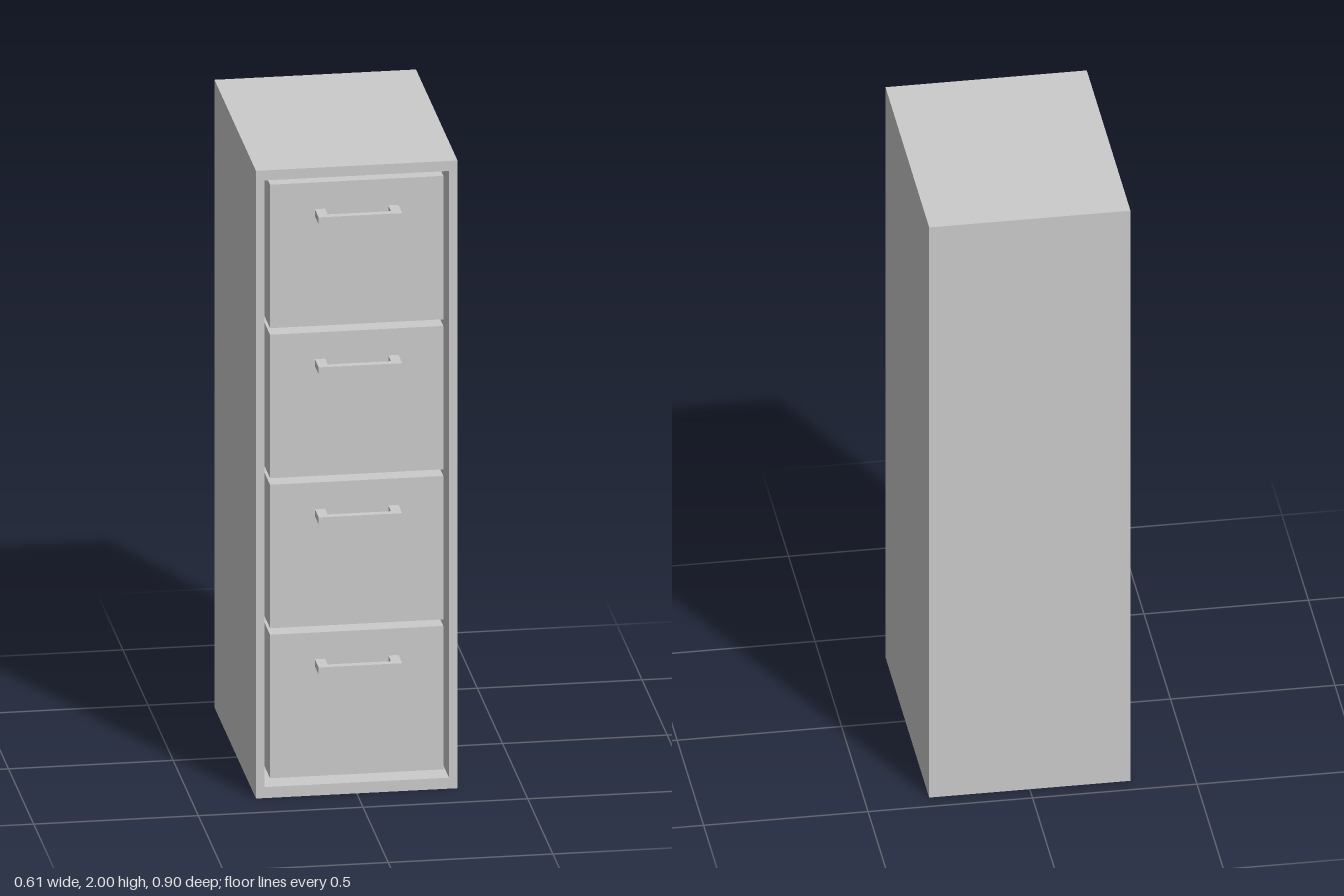
import * as THREE from 'three';

const material = new THREE.MeshStandardMaterial({ color: 0xcccccc, flatShading: true });

function add(parent, name, geometry, x = 0, y = 0, z = 0) {
  const mesh = new THREE.Mesh(geometry, material);
  mesh.name = name;
  mesh.position.set(x, y, z);
  parent.add(mesh);
}

function rectangle(PathType, x, y0, y1) {
  return new PathType([[-x, y0], [x, y0], [x, y1], [-x, y1]].map(p => new THREE.Vector2(...p)));
}

export function createModel() {
  const model = new THREE.Group();
  model.name = 'filingCabinet';

  const halfWidth = 0.306, back = -0.449, front = 0.375, wall = 0.027;

  // Casing: a hollow shell, open to the front and closed by a back panel
  const shell = rectangle(THREE.Shape, halfWidth, 0, 2);
  shell.holes.push(rectangle(THREE.Path, 0.28, 0.035, 1.968));
  const casing = new THREE.ExtrudeGeometry(shell, { depth: front - back - wall, bevelEnabled: false });
  add(model, 'casing', casing, 0, 0, back + wall);
  add(model, 'backPanel', new THREE.BoxGeometry(halfWidth * 2, 2, wall), 0, 1, back + wall / 2);

  // Square U-shaped pull, drawn in plan and extruded upwards
  const outline = [[-0.127, 0], [-0.127, -0.075], [0.127, -0.075], [0.127, 0],
    [0.096, 0], [0.096, -0.052], [-0.096, -0.052], [-0.096, 0]];
  const handle = new THREE.ExtrudeGeometry(
    new THREE.Shape(outline.map(p => new THREE.Vector2(...p))), { depth: 0.022, bevelEnabled: false });
  handle.rotateX(-Math.PI / 2).translate(0, -0.011, 0);

  // Four equal drawers, with narrow gaps around each one
  const height = 0.457, spacing = 0.478, depth = front - back - wall - 0.02;
  const drawer = new THREE.BoxGeometry(0.526, height, depth);
  for (let i = 0; i < 4; i++) {
    const group = new THREE.Group();
    group.name = `drawer${i + 1}`;
    group.position.set(0, 0.062 + i * spacing, front - 0.001);
    add(group, 'drawerBox', drawer, 0, height / 2, -depth / 2);
    add(group, 'handle', handle, 0, height - 0.096, 0);
    model.add(group);
  }
  return model;
}
